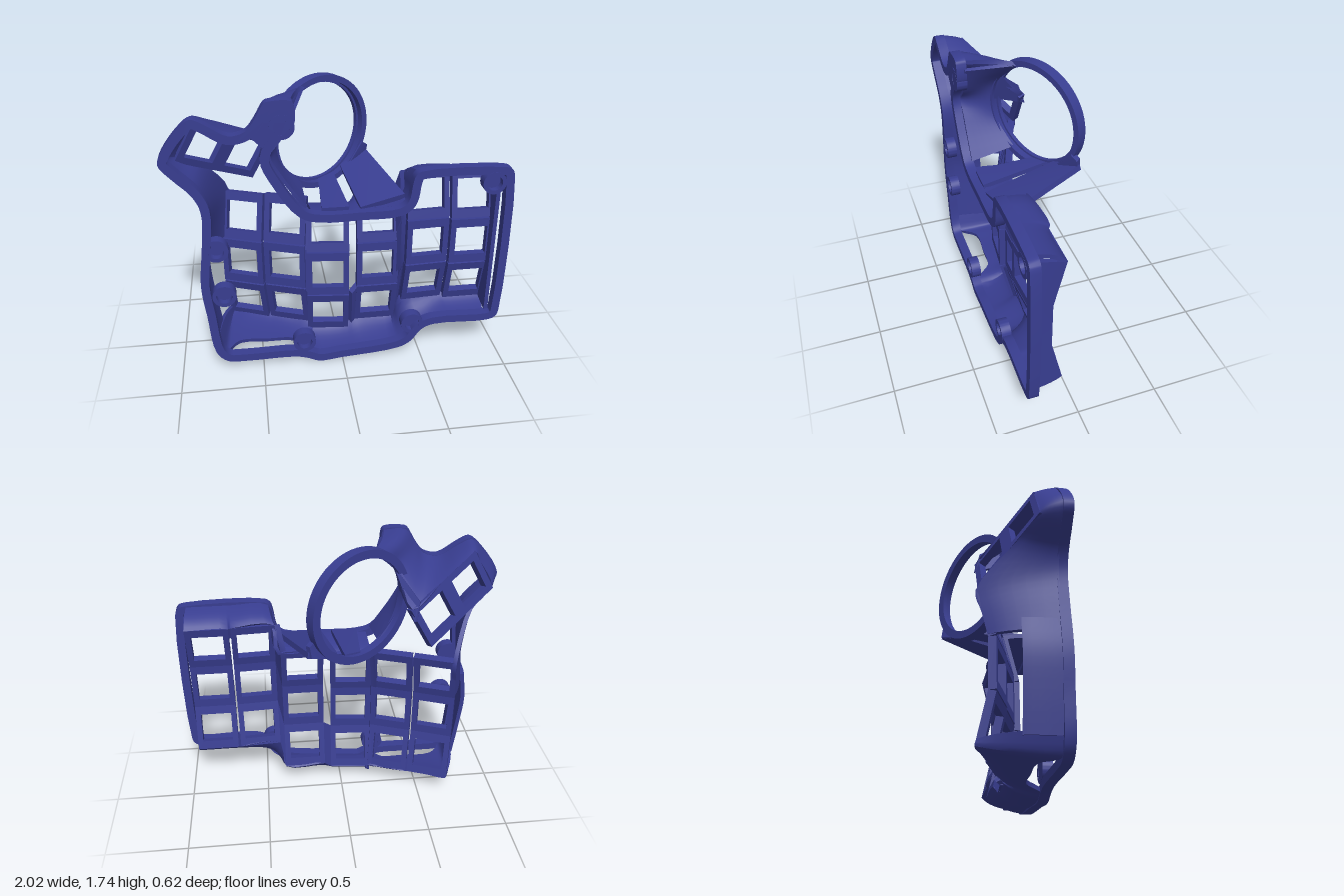
import * as THREE from 'three';
import { toCreasedNormals } from 'three/addons/utils/BufferGeometryUtils.js';

const plastic = new THREE.MeshStandardMaterial({ color: 0x383d90, side: THREE.DoubleSide });
plastic.name = 'indigo plastic';
const V = (x, y, z) => new THREE.Vector3(x, y, z);
const lerp = THREE.MathUtils.lerp;

function add(parent, geometry, name) {
  const mesh = new THREE.Mesh(geometry, plastic);
  mesh.name = name;
  parent.add(mesh);
  return mesh;
}

// Closed sheet of thickness t over a grid of points
function sheet(grid, t) {
  const m = grid.length, n = grid[0].length, count = m * n, index = [];
  const quad = (a, b, c, d) => index.push(a, b, c, a, c, d);
  const base = grid.flat().flatMap(p => [p.x, p.y, p.z]);
  for (let i = 0; i < m - 1; i++) for (let j = 0; j < n - 1; j++) {
    const a = i * n + j;
    quad(a, a + n, a + n + 1, a + 1);
  }
  const g = new THREE.BufferGeometry();
  g.setAttribute('position', new THREE.Float32BufferAttribute(base, 3));
  g.setIndex([...index]);
  g.computeVertexNormals();
  const normals = g.attributes.normal.array;
  const inner = base.map((v, k) => v + normals[k] * t);
  // second layer, then the four edges
  for (let k = 0, len = index.length; k < len; k += 3)
    index.push(index[k] + count, index[k + 1] + count, index[k + 2] + count);
  for (let k = 0; k < index.length / 2; k += 3)
    [index[k], index[k + 1]] = [index[k + 1], index[k]];
  const edge = (a, b) => quad(a, b, b + count, a + count);
  for (let i = 0; i < m - 1; i++) {
    edge(i * n, i * n + n);
    edge(i * n + 2 * n - 1, i * n + n - 1);
  }
  for (let j = 0; j < n - 1; j++) {
    edge(j + 1, j);
    edge((m - 1) * n + j, (m - 1) * n + j + 1);
  }
  g.setAttribute('position', new THREE.Float32BufferAttribute([...base, ...inner], 3));
  g.deleteAttribute('normal');
  g.setIndex(index);
  return toCreasedNormals(g, 0.6);
}

// Curved wall joining pairs of [front point, back point]
function wall(pairs, { t = 0.025, bulge = 0.75, steps = 4 } = {}) {
  const front = new THREE.CatmullRomCurve3(pairs.map(p => p[0]));
  const back = new THREE.CatmullRomCurve3(pairs.map(p => p[1]));
  const n = (pairs.length - 1) * steps, grid = [];
  for (let i = 0; i <= n; i++) {
    const a = front.getPoint(i / n), b = back.getPoint(i / n);
    const c = V(lerp(a.x, b.x, 1 - bulge), lerp(a.y, b.y, 1 - bulge), lerp(a.z, b.z, bulge));
    grid.push(new THREE.QuadraticBezierCurve3(a, c, b).getPoints(6));
  }
  return sheet(grid, t);
}

const panel = (a, b, c, d, t = 0.03) => sheet([[a, d], [b, c]], t);

function rectPath(w, h, Type, x = 0) {
  const p = new Type();
  p.moveTo(x - w / 2, -h / 2);
  p.lineTo(x + w / 2, -h / 2);
  p.lineTo(x + w / 2, h / 2);
  p.lineTo(x - w / 2, h / 2);
  p.closePath();
  return p;
}

function annulus(outer, inner, depth) {
  const s = new THREE.Shape().absarc(0, 0, outer, 0, Math.PI * 2);
  s.holes.push(new THREE.Path().absarc(0, 0, inner, 0, Math.PI * 2, true));
  return toCreasedNormals(new THREE.ExtrudeGeometry(s, { depth, bevelEnabled: false, curveSegments: 32 }), 0.6);
}

export function createModel() {
  const model = new THREE.Group();
  model.name = 'keyboardCase';

  // Flat rim on the front plane
  const outline = [
    [-.28, 1.718], [-.4, 1.72], [-.425, 1.71], [-.48, 1.62], [-.53, 1.56], [-.62, 1.54], [-.74, 1.61], [-.81, 1.64],
    [-.87, 1.6], [-.98, 1.46], [-1, 1.39], [-.94, 1.31], [-.84, 1.2], [-.8, 1.1], [-.81, .9], [-.84, .62],
    [-.82, .4], [-.785, .13], [-.72, .06], [-.6, .05], [-.3, .05], [-.22, .03], [-.15, .002], [0, .015],
    [.36, .055], [.44, .1], [.5, .18], [.58, .215], [.93, .215], [.985, .24], [1, .29], [1, 1.21],
    [.98, 1.26], [.93, 1.275], [.45, 1.275], [.415, 1.25], [.4, 1.2], [.38, 1.09], [.33, 1.05], [.1, 1.04],
    [-.12, 1.04], [-.22, 1.07], [-.36, 1.27], [-.41, 1.4], [-.35, 1.5], [-.27, 1.58], [-.265, 1.69]];
  const loop = new THREE.CatmullRomCurve3(outline.map(([x, y]) => V(x, y, 0)), true);
  const N = 188, outer = [], inner = [];
  for (let i = 0; i < N; i++) {
    const p = loop.getPoint(i / N), d = loop.getTangent(i / N);
    outer.push(new THREE.Vector2(p.x, p.y));
    inner.push(new THREE.Vector2(p.x - d.y * 0.05, p.y + d.x * 0.05));
  }
  const rimShape = new THREE.Shape(outer);
  rimShape.holes.push(new THREE.Path(inner));
  const rim = new THREE.ExtrudeGeometry(rimShape, { depth: 0.06, bevelEnabled: false });
  add(model, toCreasedNormals(rim, 0.6), 'rim').position.z = 0.25;

  // Solid corner of the rim beside the ring
  const cornerShape = new THREE.Shape([[-.415, 1.705], [-.29, 1.705], [-.29, 1.6], [-.37, 1.5], [-.43, 1.45],
    [-.52, 1.54], [-.47, 1.61]].map(([x, y]) => new THREE.Vector2(x, y)));
  add(model, new THREE.ExtrudeGeometry(cornerShape, { depth: 0.055, bevelEnabled: false }), 'rimCorner').position.z = 0.253;

  // Key columns: x, y, z of the middle key, and sideways tilt
  const columns = [[-.578, .575, -.06, -.38], [-.32, .58, .03, -.36], [-.07, .55, .12, -.1],
    [.24, .595, .11, 0], [.535, .755, .155, .06], [.81, .745, .16, 0]];
  const bend = 0.23, W = 0.262, H = 0.3;
  const keyShape = rectPath(W, H, THREE.Shape);
  keyShape.holes.push(rectPath(0.195, 0.19, THREE.Path));
  const keyFrame = new THREE.ExtrudeGeometry(keyShape, { depth: 0.045, bevelEnabled: false });
  const groups = columns.map(([x, y, z, tilt], i) => {
    const g = new THREE.Group();
    g.name = 'keyColumn' + (i + 1);
    g.position.set(x, y, z);
    g.rotation.y = tilt;
    for (const s of [-1, 0, 1]) {
      const f = add(g, keyFrame, 'keyFrame');
      f.position.set(0, s * H / 2 * (1 + Math.cos(bend)), -Math.abs(s) * H / 2 * Math.sin(bend));
      f.rotation.x = -s * bend;
    }
    g.updateMatrix();
    model.add(g);
    return g;
  });
  // Point on a column's side edge; k runs 0 to 3 from bottom to top
  const at = (i, side, k) => {
    const e = Math.max(0, 1 - k, k - 2) * H, s = k < 1.5 ? -1 : 1;
    const y = k >= 1 && k <= 2 ? (k - 1.5) * H : s * (H / 2 + e * Math.cos(bend));
    return V(side * W / 2, y, -e * Math.sin(bend)).applyMatrix4(groups[i].matrix);
  };

  // Webs between columns, leaving slits where the columns are only tied
  const ties = [[0, .3], [2.75, 3]];
  const webs = [ties, [[0, 1], [1, 2], [2, 3]], [[0, 1], [2.8, 3]], [[0, 1], [1, 2], [2, 3]], ties];
  webs.forEach((spans, i) => spans.forEach(([a, b]) =>
    add(model, panel(at(i, 1, a), at(i + 1, -1, a), at(i + 1, -1, b), at(i, 1, b), 0.035), 'columnWeb')));

  // Skirts from the rim to the key columns; the bottom one is cut back at the left for a port
  const F = 0.26, R = (x, y) => V(x, y, F);
  add(model, wall([[R(-.79, .2), at(0, -1, .12)], [R(-.74, .08), at(0, -1, 0)], [V(-.64, .07, .15), at(0, 0, 0)],
    [V(-.46, .065, .15), at(0, 1, 0)], [V(-.42, .065, .15), at(1, -1, 0)], [V(-.3, .06, .16), at(1, 0, 0)],
    [R(-.22, .035), at(1, 1, 0)], [R(-.16, .01), at(2, -1, 0)],
    [R(.05, .022), at(2, 1, 0)], [R(.14, .035), at(3, -1, 0)], [R(.36, .058), at(3, 1, 0)],
    [R(.47, .15), at(4, -1, 0)], [R(.65, .22), at(4, 1, 0)], [R(.7, .22), at(5, -1, 0)],
    [R(.92, .22), at(5, 1, 0)]]), 'bottomSkirt');
  add(model, wall([0, 1, 2, 3].map(k => [R(.945, [.26, .6, .9, 1.23][k]), at(5, 1, k)]), { bulge: 0.5 }), 'rightSkirt');
  add(model, wall([[R(.93, 1.27), at(5, 1, 3)], [R(.69, 1.27), at(5, -1, 3)], [R(.65, 1.27), at(4, 1, 3)],
    [R(.43, 1.26), at(4, -1, 3)], [R(.38, 1.07), at(3, 1, 3)], [R(.12, 1.04), at(3, -1, 3)],
    [R(.05, 1.04), at(2, 1, 3)], [R(-.18, 1.04), at(2, -1, 3)]]), 'topSkirt');
  add(model, wall([[-.815, .8], [-.835, .62], [-.815, .4], [-.785, .17]].map(([x, y]) =>
    [R(x, y), V(x + 0.02, y, 0.05)])), 'leftBand');

  // Tilted ring socket with an inner lip
  const ring = new THREE.Group();
  ring.name = 'ringSocket';
  ring.position.set(-.078, 1.39, -.08);
  ring.rotation.y = 0.53;
  add(ring, annulus(0.348, 0.312, 0.065), 'ringWall').position.z = -0.06;
  add(ring, annulus(0.325, 0.298, 0.025), 'ringLip').position.z = -0.06;
  ring.updateMatrix();
  model.add(ring);
  const onRing = (deg, r = 0.33) => {
    const a = deg * Math.PI / 180;
    return V(r * Math.cos(a), r * Math.sin(a), -0.02).applyMatrix4(ring.matrix);
  };

  // Two-key thumb plate
  const u = V(.76, -.42, -.49).normalize(), v = V(.484, .875, 0).normalize();
  const n = u.clone().cross(v).normalize(), center = V(-.665, 1.365, -.005);
  v.copy(n).cross(u);
  const thumbShape = rectPath(0.56, 0.28, THREE.Shape);
  for (const x of [-.14, .14]) thumbShape.holes.push(rectPath(0.195, 0.195, THREE.Path, x));
  const thumb = add(model, new THREE.ExtrudeGeometry(thumbShape, { depth: 0.045, bevelEnabled: false }), 'thumbPlate');
  thumb.quaternion.setFromRotationMatrix(new THREE.Matrix4().makeBasis(u, v, n));
  thumb.position.copy(center);
  const onThumb = (a, b) => center.clone().addScaledVector(u, a).addScaledVector(v, b);

  // Smooth skin sweeping from the ring, round the thumb plate, to the first column
  add(model, wall([[R(-.28, 1.715), onRing(108)], [R(-.41, 1.715), onRing(128)], [R(-.48, 1.62), onRing(146)],
    [R(-.53, 1.56), onThumb(.27, .14)], [R(-.62, 1.54), onThumb(.02, .14)], [R(-.74, 1.605), onThumb(-.18, .14)],
    [R(-.82, 1.635), onThumb(-.28, .13)], [R(-.91, 1.55), onThumb(-.28, .06)], [R(-.995, 1.41), onThumb(-.28, -.12)],
    [R(-.93, 1.3), onThumb(-.2, -.14)], [R(-.84, 1.2), onThumb(-.08, -.15)], [R(-.8, 1.08), at(0, -1, 3)],
    [R(-.81, .9), at(0, -1, 2.5)], [R(-.825, .74), at(0, -1, 2.05)]], { bulge: 0.65 }), 'thumbSkin');
  add(model, panel(onRing(146), onRing(178), onThumb(.28, .06), onThumb(.2, .14), 0.02), 'thumbSaddle');

  // Inner skin along the ring's left side and the struts under it
  add(model, wall([[R(-.27, 1.67), onRing(112)], [R(-.35, 1.5), onRing(155)], [R(-.42, 1.4), onRing(180)],
    [R(-.36, 1.27), onRing(207)], [R(-.22, 1.06), onRing(240)]], { bulge: 0.5, t: 0.02 }), 'ringSkin');
  add(model, panel(R(-.12, 1.03), R(.04, 1.03), onRing(288), onRing(268)), 'ringStrut');
  const tip = V(.225, 1.17, -.28);
  add(model, panel(R(.11, 1.02), V(.38, 1.06, .2), tip, onRing(300), 0.035), 'ringBrace');
  add(model, panel(onRing(300), V(.2, 1.17, -.285), V(.21, 1.24, -.275), onRing(338), 0.035), 'ringCorner');

  // Screw bosses with blind holes
  const boss = annulus(0.07, 0.046, 0.062);
  for (const [x, y] of [[-.335, 1.575], [-.735, .845], [-.71, .535], [-.24, .155], [.44, .23], [.885, 1.175]]) {
    const g = new THREE.Group();
    g.name = 'screwBoss';
    g.position.set(x, y, 0.249);
    add(g, boss, 'bossSleeve');
    const floor = add(g, new THREE.CylinderGeometry(0.05, 0.05, 0.02, 24), 'bossFloor');
    floor.rotation.x = Math.PI / 2;
    floor.position.z = 0.012;
    model.add(g);
  }
  return model;
}
